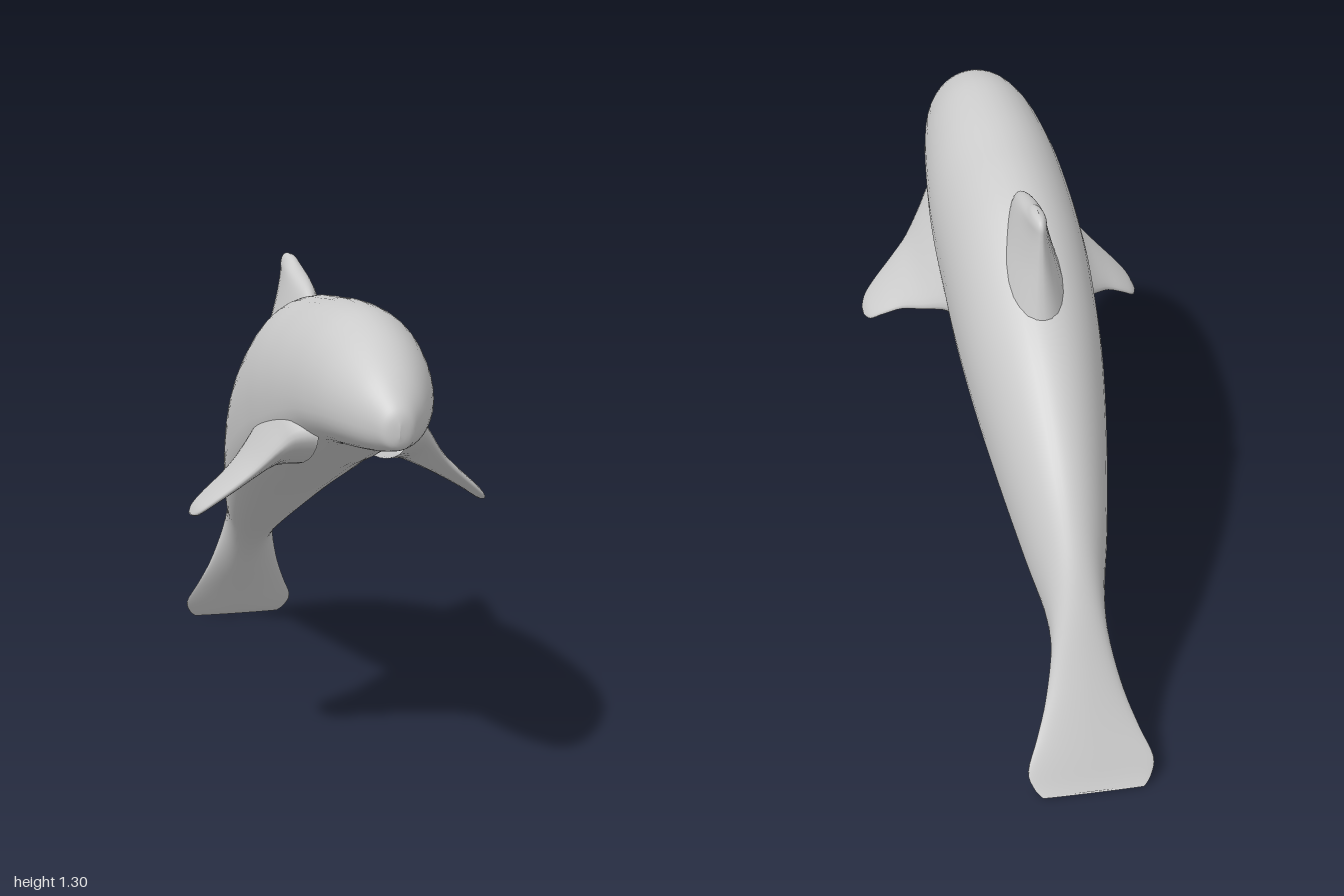
import * as THREE from 'three';

const material = new THREE.MeshStandardMaterial({ color: 0xcccccc, side: THREE.DoubleSide });

// Smoothly interpolate a row of station values at t in 0..1
function sample(rows, t) {
  const f = t * (rows.length - 1);
  const i = Math.min(Math.floor(f), rows.length - 2);
  const u = f - i;
  const at = (k) => rows[Math.max(0, Math.min(rows.length - 1, k))];
  return rows[0].map((_, c) => {
    const [a, b, d, e] = [at(i - 1)[c], at(i)[c], at(i + 1)[c], at(i + 2)[c]];
    return b + 0.5 * u * (d - a + u * (2 * a - 5 * b + 4 * d - e + u * (3 * (b - d) + e - a)));
  });
}

// Skin a closed surface over rings made from the stations
function loft(name, rows, steps, sides, ringPoint) {
  const positions = [];
  const index = [];
  for (let i = 0; i <= steps; i++) {
    const row = sample(rows, i / steps);
    for (let j = 0; j < sides; j++) {
      const a = (j / sides) * Math.PI * 2;
      positions.push(...ringPoint(row, Math.cos(a), Math.sin(a)));
      if (i === steps) continue;
      const k = (j + 1) % sides;
      const p = i * sides;
      index.push(p + j, p + sides + j, p + k, p + k, p + sides + j, p + sides + k);
    }
  }
  const geometry = new THREE.BufferGeometry();
  geometry.setAttribute('position', new THREE.Float32BufferAttribute(positions, 3));
  geometry.setIndex(index);
  geometry.computeVertexNormals();
  const mesh = new THREE.Mesh(geometry, material);
  mesh.name = name;
  return mesh;
}

const power = (v, e) => Math.sign(v) * Math.pow(Math.abs(v), e);

// Body and tail fluke: z, top y, bottom y, widest y, half width, belly exponent
const bodyRows = [
  [1.0, 1.07, 1.045, 1.055, 0.0, 1],
  [0.99, 1.105, 1.015, 1.06, 0.035, 0.9],
  [0.96, 1.14, 1.002, 1.07, 0.06, 0.9],
  [0.9, 1.195, 0.988, 1.08, 0.1, 0.85],
  [0.8, 1.255, 0.972, 1.085, 0.14, 0.85],
  [0.7, 1.285, 0.958, 1.08, 0.162, 0.8],
  [0.6, 1.295, 0.93, 1.07, 0.177, 0.8],
  [0.45, 1.286, 0.87, 1.04, 0.193, 0.75],
  [0.3, 1.265, 0.81, 1.0, 0.2, 0.72],
  [0.15, 1.243, 0.755, 0.96, 0.2, 0.7],
  [0.0, 1.2, 0.69, 0.9, 0.197, 0.7],
  [-0.2, 1.09, 0.6, 0.81, 0.182, 0.72],
  [-0.4, 0.955, 0.5, 0.69, 0.153, 0.75],
  [-0.6, 0.765, 0.395, 0.54, 0.113, 0.8],
  [-0.72, 0.605, 0.32, 0.43, 0.082, 0.9],
  [-0.8, 0.46, 0.25, 0.335, 0.077, 1],
  [-0.87, 0.3, 0.165, 0.22, 0.104, 1.1],
  [-0.92, 0.185, 0.1, 0.135, 0.137, 1.2],
  [-0.96, 0.093, 0.045, 0.065, 0.167, 1.2],
  [-0.985, 0.035, 0.013, 0.023, 0.155, 1.1],
  [-1.0, 0.005, 0.0, 0.002, 0.135, 1],
];
function bodyRing([z, top, bottom, mid, width, e], c, s) {
  const k = s < 0 ? e : Math.max(1, e);
  const height = s < 0 ? mid - bottom : top - mid;
  return [width * power(c, k), mid + height * power(s, k), z];
}

// Dorsal fin: y, front z, back z, half thickness
const finRows = [
  [1.0, 0.12, -0.31, 0.1],
  [1.08, 0.11, -0.292, 0.08],
  [1.16, 0.09, -0.278, 0.055],
  [1.22, 0.06, -0.272, 0.038],
  [1.25, 0.0, -0.27, 0.03],
  [1.275, -0.11, -0.267, 0.023],
  [1.292, -0.16, -0.252, 0.014],
  [1.298, -0.2, -0.22, 0.0],
];
function finRing([y, front, back, thick], c, s) {
  return [thick * c, y, (front + back) / 2 + ((front - back) / 2) * s];
}

// Flipper: x, front z, back z, front y, back y, half thickness
const flipperRows = [
  [0.12, 0.66, 0.06, 0.98, 0.87, 0.09],
  [0.17, 0.62, 0.1, 0.965, 0.85, 0.075],
  [0.2, 0.58, 0.15, 0.93, 0.835, 0.058],
  [0.25, 0.53, 0.21, 0.865, 0.805, 0.036],
  [0.3, 0.5, 0.265, 0.815, 0.78, 0.026],
  [0.35, 0.47, 0.295, 0.77, 0.75, 0.02],
  [0.385, 0.44, 0.32, 0.737, 0.725, 0.015],
  [0.4, 0.4, 0.36, 0.72, 0.717, 0.002],
];
function flipperRing(side) {
  return ([x, front, back, yFront, yBack, thick], c, s) => {
    const t = (c + 1) / 2;
    return [side * x, yBack + (yFront - yBack) * t + thick * s * side, back + (front - back) * t];
  };
}

export function createModel() {
  const group = new THREE.Group();
  group.name = 'dolphin';
  group.add(loft('body', bodyRows, 80, 40, bodyRing));
  group.add(loft('dorsalFin', finRows, 28, 28, finRing));
  group.add(loft('leftFlipper', flipperRows, 28, 28, flipperRing(1)));
  group.add(loft('rightFlipper', flipperRows, 28, 28, flipperRing(-1)));
  return group;
}
